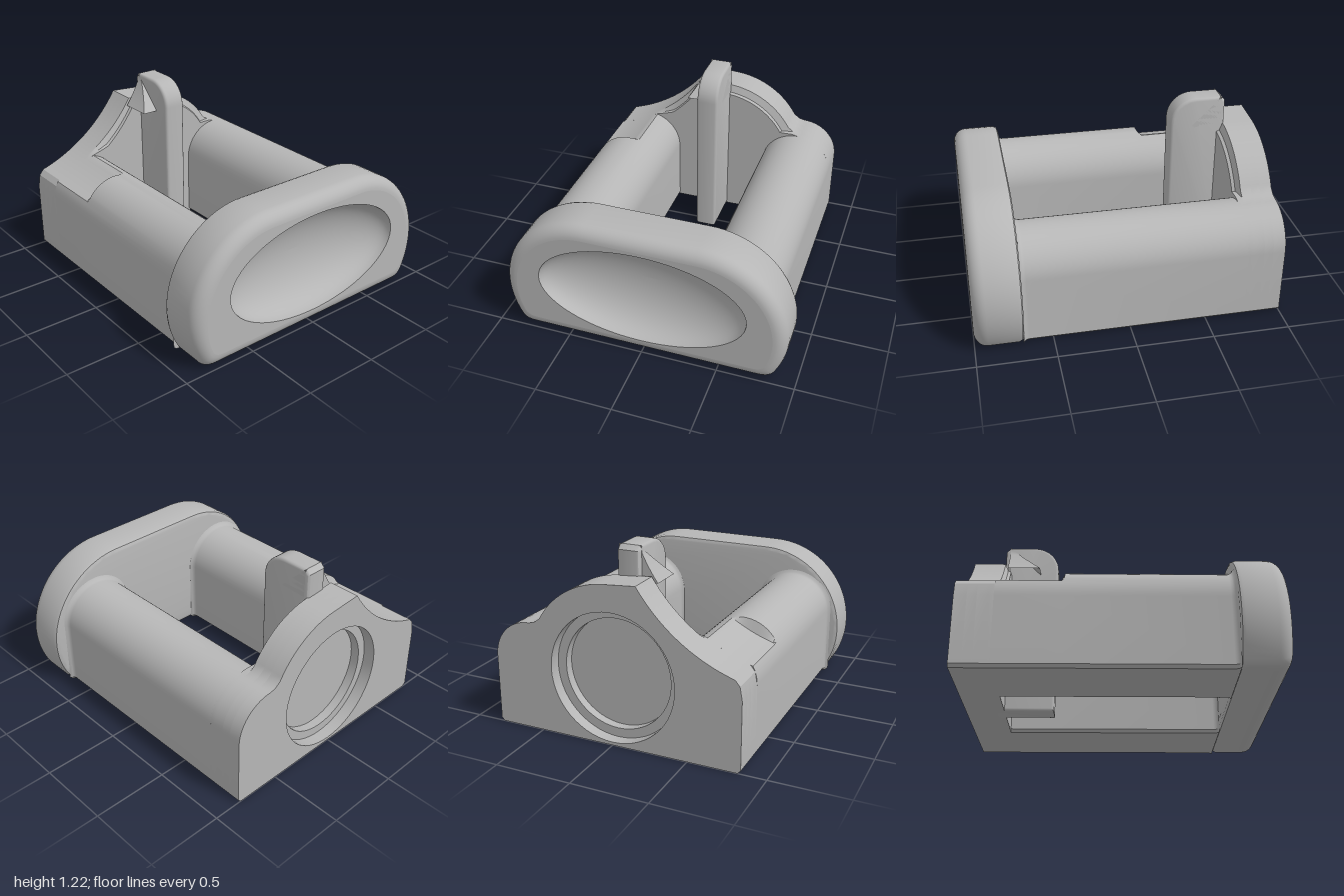
import * as THREE from 'three';
import { toCreasedNormals } from 'three/addons/utils/BufferGeometryUtils.js';

const V2 = (x, y) => new THREE.Vector2(x, y);
const range = (n, f) => Array.from({ length: n + 1 }, (_, i) => f(i / n));
const arc = (cx, cy, rx, ry, a0, a1, n) =>
  range(n, t => V2(cx + rx * Math.cos(a0 + (a1 - a0) * t), cy + ry * Math.sin(a0 + (a1 - a0) * t)));
const at = (pts, z) => pts.map(p => new THREE.Vector3(p.x, p.y, z));

// Skin between closed rings (counter-clockwise), with optional end caps
function loft(rings, capStart, capEnd) {
  const n = rings[0].length, pos = rings.flat().flatMap(p => [p.x, p.y, p.z]), idx = [];
  for (let r = 0; r < rings.length - 1; r++) {
    for (let i = 0; i < n; i++) {
      const a = r * n + i, b = r * n + (i + 1) % n;
      idx.push(a, b, b + n, a, b + n, a + n);
    }
  }
  const cap = (r, flip) => {
    const flat = rings[r].map(p => V2(p.x, p.y));
    for (const [a, b, c] of THREE.ShapeUtils.triangulateShape(flat, [])) {
      idx.push(r * n + a, r * n + (flip ? c : b), r * n + (flip ? b : c));
    }
  };
  if (capStart) cap(0, true);
  if (capEnd) cap(rings.length - 1, false);
  const g = new THREE.BufferGeometry();
  g.setAttribute('position', new THREE.Float32BufferAttribute(pos, 3));
  g.setIndex(idx);
  return toCreasedNormals(g, 0.5);
}

// Large concave cylinder that trims the wall and the right arm
const cutY = x => 1.655 - Math.sqrt(1.2548 - (x + 1.1145) ** 2);
const cutX = y => -1.1145 + Math.sqrt(1.2548 - (y - 1.655) ** 2);

// Front plate outline, inset by d
function plateOutline(d) {
  const r = 0.57 - d, y0 = 0.005 + d;
  const a0 = -Math.asin((0.32 - y0 - 0.04) / r);
  const side = arc(0.36, 0.32, r, r, a0, Math.PI / 2, 28);
  const s = side[0];
  const corner = new THREE.QuadraticBezierCurve(V2(s.x - 0.08, y0), V2(s.x - 0.02, y0), s).getPoints(5);
  const half = [...corner.slice(0, -1), ...side];
  return [...half, ...half.map(p => V2(-p.x, p.y)).reverse()];
}

// Arch-topped arm outline, grown by o
function armOutline(cx, o) {
  const r = 0.25 + o;
  return [V2(cx - r, 0.02), V2(cx - r + 0.02, 0), V2(cx + r - 0.02, 0), V2(cx + r, 0.02),
    ...arc(cx, 0.46, r, r, 0, Math.PI, 32)];
}

// Back wall outline; o lowers the dome and the concave edge
function wallOutline(o) {
  const R = 0.57 - o;
  return [
    V2(-0.82, 0), V2(0.8, 0), V2(0.82, 0.02),
    ...arc(0.57, 0.46, 0.25, 0.25, 0, Math.PI / 2, 14),
    V2(0.53, 0.72),
    ...arc(0, 0.46, R, R, 0.53, 1.48, 18),
    ...range(20, t => {
      const x = -0.175 - 0.62 * t, y = cutY(x);
      return V2(x, y - o * Math.min(1, Math.max(0, (y - 0.7) / 0.1)));
    }),
    V2(-0.825, 0.545), V2(-0.84, 0.46), V2(-0.84, 0.02),
  ];
}

export function createModel() {
  const model = new THREE.Group();
  const grey = new THREE.MeshStandardMaterial({ color: 0xb6b6b6, side: THREE.DoubleSide });
  grey.name = 'grey';
  const add = (name, geo) => {
    const m = new THREE.Mesh(geo, grey);
    m.name = name;
    model.add(m);
    return m;
  };

  // Front plate: rounded back edge, larger rounding at the front
  const plate = [[0.03, 0.69], [0.009, 0.699], [0, 0.72]];
  for (let i = 0; i <= 8; i++) {
    const a = i / 8 * Math.PI / 2;
    plate.push([0.085 * (1 - Math.cos(a)), 0.915 + 0.085 * Math.sin(a)]);
  }
  add('frontPlate', loft(plate.map(([d, z]) => at(plateOutline(d), z)), true, false));

  // Front face with an oval opening, and the dish behind it
  const face = new THREE.Shape(plateOutline(0.085));
  const oval = s => arc(0, 0.44, 0.68 * s, 0.34 * s, 0, Math.PI * 2, 64).slice(0, -1);
  face.holes.push(new THREE.Path(oval(1).reverse()));
  add('frontFace', new THREE.ShapeGeometry(face).translate(0, 0, 1));
  add('dish', loft(range(14, t => {
    const a = t * Math.PI / 2;
    return at(oval(Math.max(0.001, Math.cos(a))), 1 - 0.22 * Math.sin(a));
  }), false, false));

  // Arms, flaring slightly where they meet the plate
  const flare = [[0, 0.655], [0.004, 0.67], [0.012, 0.682], [0.03, 0.692]];
  const flared = cx => flare.map(([o, z]) => at(armOutline(cx, o), z));
  add('leftArm', loft([at(armOutline(0.57, 0), -0.76), ...flared(0.57)], true, true));
  const full = armOutline(-0.59, 0);
  const trimmed = full.map(p => V2(p.x, Math.min(p.y, cutY(p.x))));
  add('rightArm', loft([at(trimmed, -0.76), at(trimmed, -0.37), at(full, -0.345), ...flared(-0.59)], true, true));

  // Back wall in layers: stepped round socket, then a solid layer
  const layers = [['socketRim', -1, -0.92, 0.42], ['socketStep', -0.92, -0.86, 0.36], ['backWall', -0.86, -0.79, 0]];
  for (const [name, z0, z1, hole] of layers) {
    const s = new THREE.Shape(wallOutline(0));
    if (hole) s.holes.push(new THREE.Path(arc(0, 0.44, hole, hole, Math.PI * 2, 0, 56).slice(0, -1)));
    const g = new THREE.ExtrudeGeometry(s, { depth: z1 - z0, bevelEnabled: false });
    add(name, toCreasedNormals(g.translate(0, 0, z0), 0.5));
  }
  add('wallChamfer', loft([
    at(wallOutline(0), -0.79), at(wallOutline(0.05), -0.77), at(wallOutline(0.06), -0.75)], false, true));

  // Upright fin with a rounded front top corner
  const fin = new THREE.Shape([
    V2(-0.8, 0), V2(-0.43, 0), ...arc(-0.6, 1.05, 0.17, 0.17, 0, Math.PI / 2, 12),
    V2(-0.77, 1.22), V2(-0.8, 1.19)]);
  const finGeo = new THREE.ExtrudeGeometry(fin, {
    depth: 0.11, bevelThickness: 0.02, bevelSize: 0.02, bevelOffset: -0.02, bevelSegments: 3 });
  add('fin', toCreasedNormals(finGeo.rotateY(-Math.PI / 2).translate(0.03, 0, 0), 0.6));

  // Sloping buttress joining the fin to the wall
  add('finButtress', loft(range(10, t => {
    const y = 1 + 0.22 * t, xl = Math.min(-0.1, cutX(y)), zb = Math.max(-1, 0.45 - y);
    return [[xl, -0.77], [0.05, -0.77], [0.05, zb], [xl, zb]].map(([x, z]) => new THREE.Vector3(x, y, z));
  }), false, false));

  return model;
}
